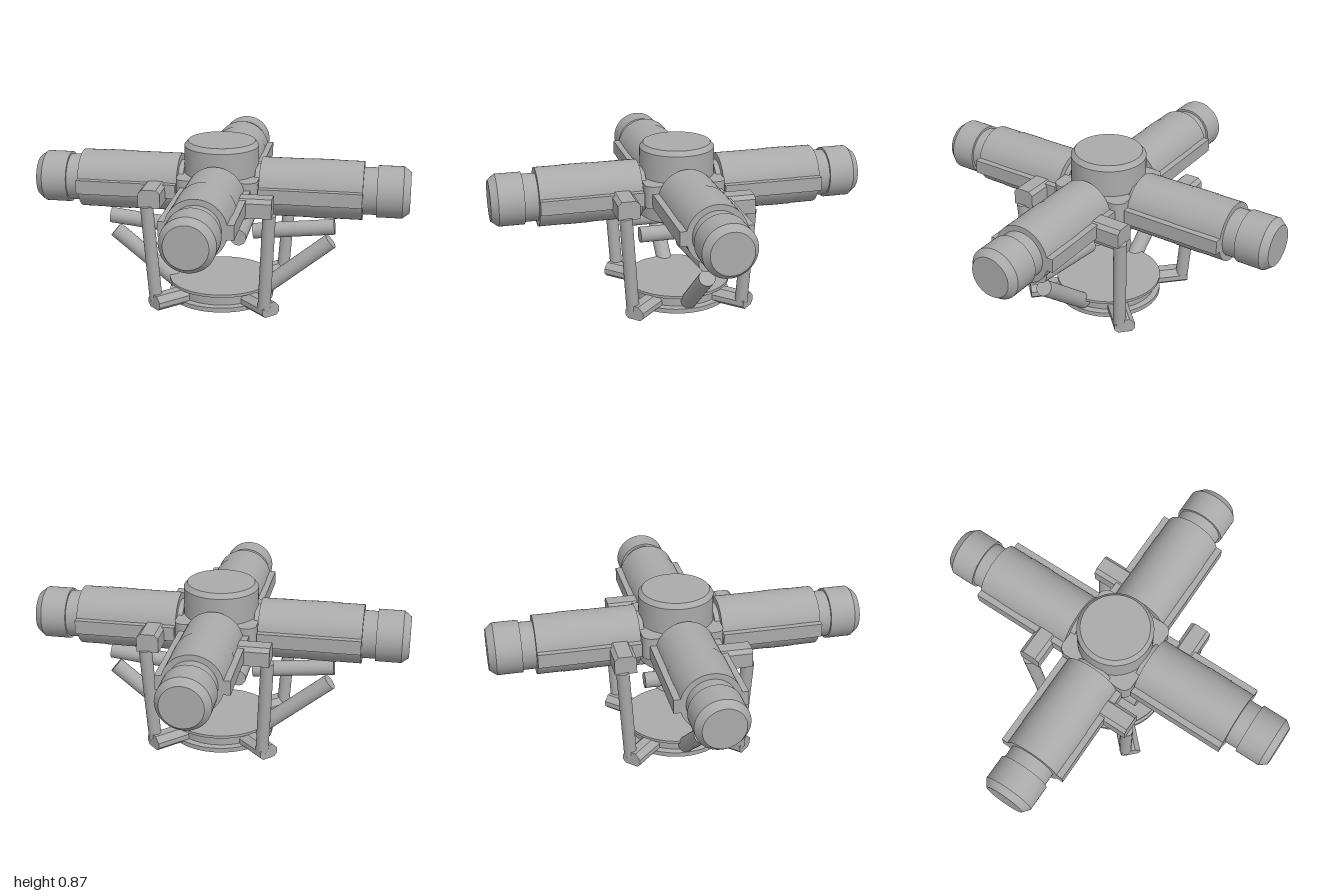
import * as THREE from 'three';
import { toCreasedNormals } from 'three/addons/utils/BufferGeometryUtils.js';

const grey = new THREE.MeshStandardMaterial({ color: 0xaaaaaa });
grey.name = 'hull grey';

function part(name, geometry, parent) {
  const mesh = new THREE.Mesh(geometry, grey);
  mesh.name = name;
  parent.add(mesh);
  return mesh;
}

// Turned solid around y, profile listed from bottom to top
function turned(profile, segments = 48) {
  const points = profile.map(([r, y]) => new THREE.Vector2(r, y));
  return toCreasedNormals(new THREE.LatheGeometry(points, segments), 0.5);
}

// Round rod between two points
function rod(name, from, to, radius, parent) {
  const a = new THREE.Vector3(...from), b = new THREE.Vector3(...to);
  const dir = b.clone().sub(a);
  const mesh = part(name, new THREE.CylinderGeometry(radius, radius, dir.length(), 24), parent);
  mesh.position.copy(a).add(b).multiplyScalar(0.5);
  mesh.quaternion.setFromUnitVectors(new THREE.Vector3(0, 1, 0), dir.normalize());
  return mesh;
}

// Bar along +z with chamfered top and bottom corners, standing on y = 0
function bar(width, height, topCut, bottomCut, length) {
  const w = width / 2;
  const s = new THREE.Shape();
  s.moveTo(-w + bottomCut, 0);
  s.lineTo(w - bottomCut, 0);
  s.lineTo(w, bottomCut);
  s.lineTo(w, height - topCut);
  s.lineTo(w - topCut, height);
  s.lineTo(-w + topCut, height);
  s.lineTo(-w, height - topCut);
  s.lineTo(-w, bottomCut);
  return new THREE.ExtrudeGeometry(s, { depth: length, bevelEnabled: false });
}

export function createModel() {
  const model = new THREE.Group();
  model.name = 'spaceStation';
  const axisY = 0.628;

  // Central hub and the rounded-square collar joining the arms
  part('hub', turned([[0, 0.478], [0.198, 0.478], [0.198, 0.845], [0.178, 0.87], [0, 0.87]], 64), model);
  const h = 0.215, c = 0.05;
  const square = new THREE.Shape();
  square.moveTo(h, -h + c);
  square.absarc(h - c, h - c, c, 0, Math.PI / 2);
  square.absarc(-h + c, h - c, c, Math.PI / 2, Math.PI);
  square.absarc(-h + c, -h + c, c, Math.PI, Math.PI * 1.5);
  square.absarc(h - c, -h + c, c, Math.PI * 1.5, Math.PI * 2);
  const collar = new THREE.ExtrudeGeometry(square, { depth: 0.12, bevelEnabled: false });
  collar.rotateX(-Math.PI / 2);
  part('hubCollar', collar, model).position.y = 0.58;

  // Four identical quadrants: arm, bracket, leg and foot
  for (let i = 0; i < 4; i++) {
    const quadrant = new THREE.Group();
    quadrant.name = 'quadrant' + (i + 1);
    quadrant.rotation.y = i * Math.PI / 2;
    model.add(quadrant);

    const arm = new THREE.Group();
    arm.name = 'arm';
    arm.position.y = axisY;
    quadrant.add(arm);
    const body = turned([
      [0, 0.19], [0.12, 0.19], [0.12, 0.218], [0.155, 0.218], [0.155, 0.757], [0.125, 0.757],
      [0.125, 0.828], [0.137, 0.828], [0.137, 0.962], [0.108, 1], [0, 1],
    ]);
    part('armModule', body.rotateZ(-Math.PI / 2), arm);
    const band = new THREE.CylinderGeometry(0.157, 0.157, 0.14, 48, 1, true);
    part('armBand', band.rotateZ(-Math.PI / 2), arm).position.x = 0.555;
    for (const side of [-1, 1]) {
      const rail = part('sideRail', new THREE.BoxGeometry(0.539, 0.075, 0.06), arm);
      rail.position.set(0.4875, -0.003, side * 0.155);
    }

    const bracket = part('legBracket', bar(0.115, 0.097, 0.02, 0, 0.17), quadrant);
    bracket.rotation.y = Math.PI / 2;
    bracket.position.set(0.145, 0.573, 0.33);

    rod('leg', [0.275, 0.05, 0.31], [0.3, 0.58, 0.345], 0.034, quadrant);

    // Foot points outward along the diagonal
    const foot = part('foot', bar(0.11, 0.076, 0.03, 0.018, 0.19), quadrant);
    foot.rotation.y = Math.PI / 4;
    foot.position.set(0.178, 0.012, 0.178);
  }

  // Docking platform: two discs with a groove between them
  part('platform', turned([
    [0, 0], [0.285, 0], [0.285, 0.025], [0.255, 0.03],
    [0.255, 0.08], [0.285, 0.085], [0.285, 0.1], [0, 0.1],
  ], 64), model);

  // Struts on both sides
  for (const s of [-1, 1]) {
    rod('upperStrut', [s * 0.175, 0.372, 0.008], [s * 0.612, 0.42, 0.008], 0.042, model);
    rod('lowerStrut', [s * 0.25, 0.055, 0], [s * 0.592, 0.335, 0], 0.043, model);
    rod('crossStrut', [s * 0.125, 0.41, -0.2], [s * 0.125, 0.41, 0.235], 0.042, model);
  }
  return model;
}
